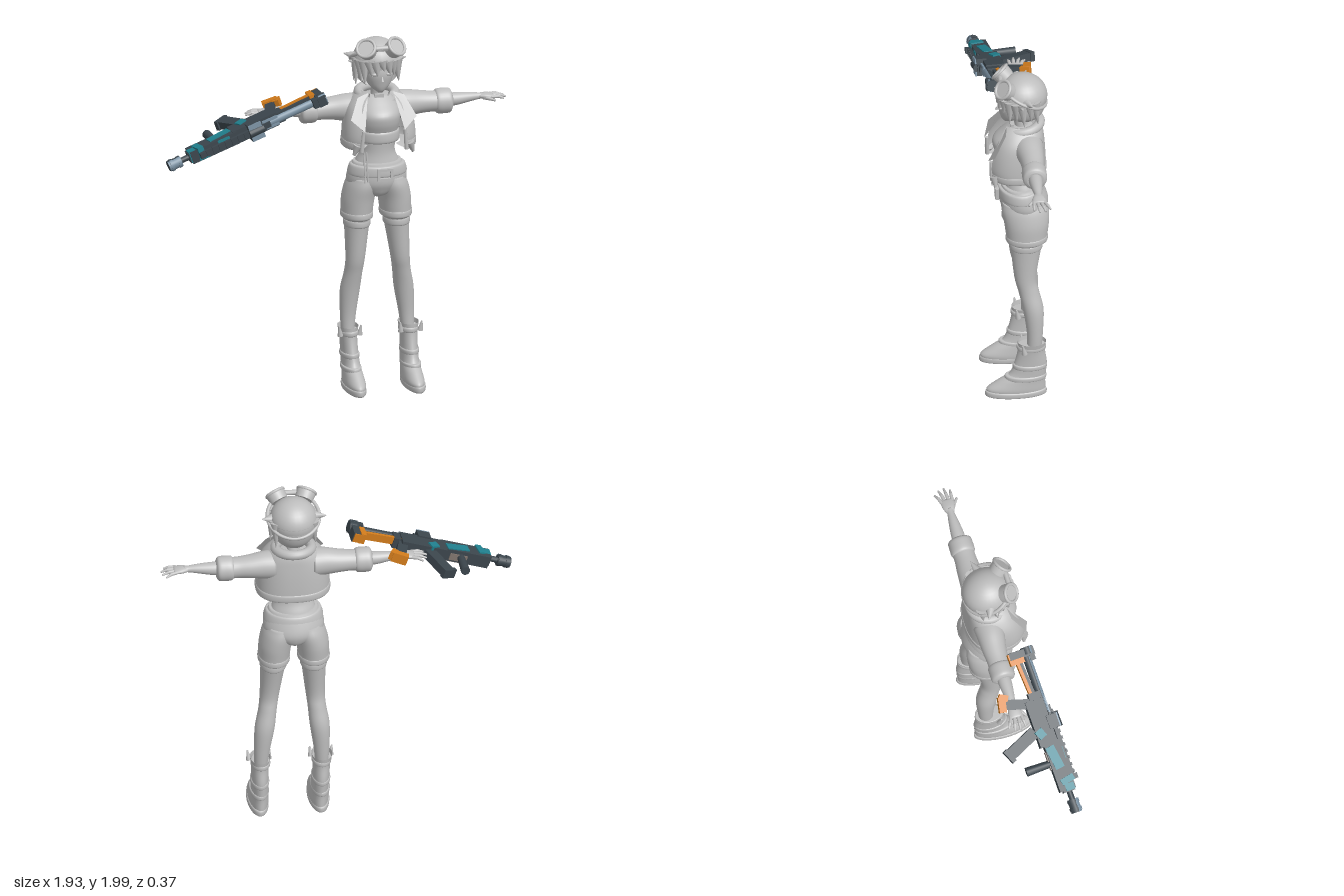
import * as THREE from 'three';

const mat = (name, color) => Object.assign(new THREE.MeshStandardMaterial({ color, side: THREE.DoubleSide }), { name });
const CX = 0.235; // centre line of the figure

// Loft of elliptical rings [y, cx, cz, rx, rz], smoothly interpolated; gap leaves an opening at +z
function loft(rows, { seg = 32, steps = 5, gap = 0, caps = true, power = 1 } = {}) {
  const c = new THREE.CatmullRomCurve3(rows.map(r => new THREE.Vector3(r[1], r[0], r[2])), false, 'catmullrom');
  const d = new THREE.CatmullRomCurve3(rows.map(r => new THREE.Vector3(r[3], 0, r[4])), false, 'catmullrom');
  const rings = [], n = (rows.length - 1) * steps;
  for (let j = 0; j <= n; j++) {
    const p = c.getPoint(j / n), r = d.getPoint(j / n);
    rings.push([p, r.x, r.z]);
  }
  if (caps && !gap) {
    rings.unshift([rings[0][0], 0, 0]);
    rings.push([rings[rings.length - 1][0], 0, 0]);
  }
  const pos = [], idx = [], cols = gap ? seg + 1 : seg;
  const bend = v => Math.sign(v) * Math.abs(v) ** power;
  for (const [p, rx, rz] of rings) for (let i = 0; i < cols; i++) {
    const a = Math.PI / 2 + gap / 2 + (i / seg) * (Math.PI * 2 - gap);
    pos.push(p.x + rx * bend(Math.cos(a)), p.y, p.z + rz * bend(Math.sin(a)));
  }
  for (let j = 0; j < rings.length - 1; j++) for (let i = 0; i < seg; i++) {
    const a = j * cols + i, b = j * cols + (i + 1) % cols;
    idx.push(a, a + cols, b, b, a + cols, b + cols);
  }
  const g = new THREE.BufferGeometry();
  g.setAttribute('position', new THREE.Float32BufferAttribute(pos, 3));
  g.setIndex(idx);
  g.computeVertexNormals();
  return g;
}

export function createModel() {
  const root = new THREE.Group();
  root.name = 'figureWithRifle';
  const grey = mat('figureGrey', 0xbebebe), dark = mat('gunDark', 0x3c464d), slate = mat('gunSlate', 0x7d94a6);
  const teal = mat('gunTeal', 0x20808e), orange = mat('gunOrange', 0xd27c1c), warm = mat('gunWarmGrey', 0x80756e);

  const add = (name, geo, m = grey, x = 0, y = 0, z = 0, parent = root) => {
    const mesh = new THREE.Mesh(geo, m);
    mesh.name = name;
    mesh.position.set(x, y, z);
    parent.add(mesh);
    return mesh;
  };
  // Tapered round bar between two points
  const bar = (name, a, b, r1, r2, m = grey, parent = root, seg = 12) => {
    const A = new THREE.Vector3(...a), B = new THREE.Vector3(...b), dir = B.clone().sub(A);
    const mesh = add(name, new THREE.CylinderGeometry(r2, r1, dir.length(), seg), m, 0, 0, 0, parent);
    mesh.position.copy(A).add(B).multiplyScalar(0.5);
    mesh.quaternion.setFromUnitVectors(new THREE.Vector3(0, 1, 0), dir.normalize());
  };
  const ball = (name, x, y, z, rx, ry, rz) =>
    add(name, new THREE.SphereGeometry(1, 28, 18), grey, x, y, z).scale.set(rx, ry, rz);
  // Central body parts: rows are [y, cz, rx, rz]
  const body = (name, rows, opt) => add(name, loft(rows.map(([y, z, a, b]) => [y, CX, z, a, b]), opt));

  // Torso and clothes
  body('waist', [[1.2, -0.035, 0.14, 0.115], [1.28, -0.035, 0.122, 0.1], [1.35, -0.025, 0.095, 0.083], [1.44, -0.02, 0.108, 0.085]]);
  body('shirt', [[1.465, 0, 0.105, 0.095], [1.52, 0.005, 0.115, 0.112], [1.57, 0.005, 0.115, 0.112],
    [1.62, -0.02, 0.1, 0.085], [1.66, -0.04, 0.07, 0.055]]);
  body('shirtHem', [[1.405, -0.005, 0.1, 0.088], [1.415, 0, 0.113, 0.103], [1.46, 0, 0.114, 0.104], [1.475, 0, 0.105, 0.095]]);
  body('neck', [[1.62, -0.04, 0.05, 0.05], [1.66, -0.035, 0.035, 0.036], [1.74, -0.02, 0.033, 0.035]]);
  add('chokerClasp', new THREE.BoxGeometry(0.05, 0.03, 0.02), grey, CX, 1.655, 0.015);
  body('jacket', [[1.402, -0.015, 0.12, 0.1], [1.388, -0.012, 0.18, 0.145], [1.4, -0.005, 0.197, 0.16], [1.45, 0, 0.2, 0.166], [1.53, -0.005, 0.192, 0.158],
    [1.6, -0.015, 0.175, 0.142], [1.65, -0.025, 0.14, 0.125], [1.69, -0.035, 0.095, 0.1]], { gap: 1.25, power: 0.85, seg: 44 });
  body('jacketHem', [[1.385, -0.012, 0.18, 0.14], [1.39, -0.005, 0.202, 0.164], [1.425, -0.002, 0.203, 0.168], [1.435, 0, 0.194, 0.158]],
    { gap: 1.25, power: 0.85, seg: 44 });
  const collar = new THREE.TorusGeometry(0.098, 0.027, 14, 36, Math.PI * 2 - 1.5);
  collar.rotateZ(Math.PI / 2 + 0.75).rotateX(Math.PI / 2 + 0.12);
  add('collar', collar, grey, CX, 1.665, -0.04);

  // Hips, belt and buckle
  body('shortsHips', [[1.085, -0.055, 0.03, 0.06], [1.105, -0.055, 0.075, 0.105], [1.14, -0.053, 0.145, 0.125], [1.18, -0.047, 0.166, 0.133],
    [1.24, -0.037, 0.156, 0.122], [1.29, -0.03, 0.13, 0.105]]);
  body('belt', [[1.215, -0.035, 0.15, 0.118], [1.222, -0.033, 0.164, 0.129], [1.268, -0.028, 0.153, 0.122], [1.276, -0.027, 0.135, 0.108]]);
  for (const t of [-1, 1]) {
    add('buckleBar', new THREE.BoxGeometry(0.085, 0.014, 0.02), grey, CX + 0.015, 1.235 + t * 0.027, 0.1);
    add('buckleSide', new THREE.BoxGeometry(0.014, 0.06, 0.02), grey, CX + 0.015 + t * 0.036, 1.235, 0.1);
  }
  for (const dx of [-0.1, -0.085])
    bar('hangingCord', [CX + dx - 0.005, 1.37, 0.1], [CX + dx, 1.2, 0.113], 0.004, 0.004);

  // Paired limbs
  for (const s of [1, -1]) {
    // Rows: [y, offset, cz, rx, rz], the stance drifts slightly towards the feet
    const leg = (name, rows, opt) => add(name, loft(rows.map(([y, o, ...r]) => [y, CX + 0.025 * (1 - Math.min(y, 1)) + s * o, ...r]), opt));
    // Raised band around the leg
    const cuff = (name, y, o, z, rx, rz, h) => leg(name, [[-h, 0.007], [-h * 0.6, 0], [h * 0.6, 0], [h, 0.007]]
      .map(([dy, inset]) => [y + dy, o, z, rx - inset, rz - inset]), { steps: 3 });
    leg('leg', [[0.28, 0.167, -0.088, 0.034, 0.038], [0.4, 0.162, -0.092, 0.043, 0.044], [0.54, 0.15, -0.085, 0.054, 0.056],
      [0.65, 0.134, -0.062, 0.05, 0.056], [0.74, 0.124, -0.045, 0.053, 0.06], [0.92, 0.111, -0.05, 0.067, 0.084], [1.05, 0.1, -0.055, 0.08, 0.108]]);
    leg('shortsLeg', [[0.955, 0.109, -0.055, 0.07, 0.09], [0.97, 0.109, -0.055, 0.083, 0.107], [1.01, 0.107, -0.055, 0.086, 0.113],
      [1.08, 0.1, -0.055, 0.089, 0.122], [1.15, 0.084, -0.05, 0.088, 0.128], [1.2, 0.07, -0.045, 0.08, 0.118]]);
    leg('boot', [[0.03, 0.163, 0.012, 0.054, 0.16], [0.055, 0.163, 0.01, 0.056, 0.158], [0.095, 0.163, -0.018, 0.052, 0.13],
      [0.14, 0.164, -0.052, 0.048, 0.1], [0.21, 0.166, -0.068, 0.046, 0.088], [0.29, 0.168, -0.072, 0.047, 0.074], [0.345, 0.168, -0.075, 0.056, 0.077]], { caps: false });
    cuff('stockingBand', 0.938, 0.11, -0.051, 0.073, 0.09, 0.022);
    cuff('shortsCuff', 0.985, 0.108, -0.055, 0.088, 0.114, 0.02);
    cuff('sole', 0.022, 0.165, 0.012, 0.058, 0.167, 0.018);
    cuff('toeStrap', 0.12, 0.166, -0.04, 0.053, 0.113, 0.015);
    cuff('ankleStrap', 0.19, 0.166, -0.064, 0.051, 0.093, 0.015);
    cuff('topStrap', 0.31, 0.166, -0.072, 0.053, 0.079, 0.015);
    for (const o of [0.115, 0.222])
      bar('bootTab', [CX + 0.018 + s * o, 0.3, -0.03], [CX + 0.018 + s * (o + (o < 0.2 ? -0.006 : 0.008)), 0.355, -0.02], 0.016, 0.004);

    // Arm rows: [offset, y, cz, ry, rz]
    const arm = (name, rows) => {
      const m = add(name, loft(rows.map(([o, y, z, ry, rz]) => [o, -s * y, z, ry, rz])));
      m.rotation.z = -s * Math.PI / 2;
      m.position.x = CX;
    };
    arm('sleeve', [[0.1, 1.58, -0.06, 0.08, 0.085], [0.17, 1.582, -0.065, 0.075, 0.075], [0.24, 1.582, -0.07, 0.064, 0.066], [0.3, 1.58, -0.07, 0.058, 0.06], [0.345, 1.578, -0.07, 0.057, 0.06]]);
    arm('sleeveCuff', [[0.328, 1.578, -0.07, 0.052, 0.055], [0.342, 1.578, -0.07, 0.067, 0.066], [0.38, 1.578, -0.07, 0.07, 0.067], [0.412, 1.578, -0.07, 0.066, 0.064], [0.425, 1.578, -0.07, 0.045, 0.045]]);
    arm('forearm', [[0.4, 1.582, -0.07, 0.036, 0.036], [0.45, 1.583, -0.07, 0.035, 0.036], [0.52, 1.588, -0.07, 0.026, 0.028], [0.575, 1.59, -0.07, 0.018, 0.02], [0.6, 1.59, -0.07, 0.017, 0.024]]);
    arm('palm', [[0.575, 1.59, -0.07, 0.014, 0.02], [0.61, 1.59, -0.07, 0.017, 0.034], [0.645, 1.588, -0.07, 0.014, 0.037], [0.655, 1.587, -0.07, 0.01, 0.033]]);
    [[0.7, -0.125], [0.72, -0.098], [0.725, -0.066], [0.708, -0.035]].forEach(([o, z], i) => {
      const z0 = -0.098 + i * 0.019;
      bar('finger', [CX + s * 0.64, 1.588, z0], [CX + s * (o * 0.55 + 0.292), 1.588, (z + z0) / 2], 0.01, 0.009);
      bar('fingertip', [CX + s * (o * 0.55 + 0.288), 1.588, (z + z0) / 2], [CX + s * o, 1.578, z], 0.009, 0.005);
    });
    bar('thumb', [CX + s * 0.6, 1.585, -0.055], [CX + s * 0.655, 1.575, -0.012], 0.013, 0.006);

    // Folded lapel
    const lapel = new THREE.BufferGeometry();
    lapel.setAttribute('position', new THREE.Float32BufferAttribute(
      [0.07, 1.69, 0.05, 0.13, 1.67, 0.06, 0.183, 1.565, 0.125, 0.11, 1.5, 0.155].map((v, i) => i % 3 ? v : CX + s * v), 3));
    lapel.setIndex(s > 0 ? [0, 2, 1, 0, 3, 2] : [0, 1, 2, 0, 2, 3]);
    lapel.computeVertexNormals();
    add('lapel', lapel);
    bar('jacketFrontEdge', [CX + s * 0.115, 1.5, 0.14], [CX + s * 0.125, 1.385, 0.135], 0.009, 0.012);
    bar('jacketCorner', [CX + s * 0.145, 1.42, 0.125], [CX + s * 0.165, 1.365, 0.12], 0.025, 0.008);

    // Goggle cup with rim, facing up, forward and outward
    const n = new THREE.Vector3(s * 0.4, 0.62, 0.68).normalize(), cup = new THREE.Group();
    cup.name = 'goggle';
    cup.position.set(CX + s * 0.076, 1.935, 0.055);
    cup.quaternion.setFromUnitVectors(new THREE.Vector3(0, 1, 0), n);
    add('goggleCup', new THREE.CylinderGeometry(0.055, 0.049, 0.05, 28), grey, 0, 0, 0, cup);
    add('goggleRim', new THREE.TorusGeometry(0.05, 0.009, 10, 28).rotateX(Math.PI / 2), grey, 0, 0.025, 0, cup);
    root.add(cup);
    // Pointed tufts beside the band
    bar('sideTuft', [CX + s * 0.1, 1.87, -0.05], [CX + s * 0.175, 1.885, -0.08], 0.033, 0.002);
    bar('sideTuftLower', [CX + s * 0.1, 1.85, -0.02], [CX + s * 0.16, 1.855, -0.03], 0.026, 0.002);
    ball('eye', CX + s * 0.038, 1.8, 0.082, 0.018, 0.009, 0.01);
  }

  // Head and hair
  body('face', [[1.688, 0.04, 0.012, 0.015], [1.705, 0.025, 0.036, 0.045], [1.74, 0.01, 0.066, 0.072], [1.8, 0.002, 0.084, 0.09], [1.88, -0.01, 0.088, 0.088]]);
  bar('nose', [CX, 1.79, 0.088], [CX, 1.762, 0.099], 0.003, 0.008);
  ball('hairDome', CX, 1.85, -0.043, 0.13, 0.122, 0.135);
  body('hairBack', [[1.715, -0.05, 0.07, 0.075], [1.75, -0.045, 0.105, 0.108], [1.8, -0.043, 0.123, 0.128], [1.86, -0.043, 0.129, 0.134]], { gap: 2.1 });
  for (let i = 0; i < 15; i++) {
    const a = -0.5 + (i / 14) * (Math.PI + 1), front = Math.max(0, Math.sin(a)) ** 3;
    const tip = 1.725 + 0.075 * front + (i % 2) * 0.02;
    bar('hairStrand', [CX + 0.112 * Math.cos(a), 1.87, -0.04 + 0.12 * Math.sin(a)],
      [CX + (0.125 - (i % 2) * 0.012) * Math.cos(a - 0.1), tip, -0.04 + 0.138 * Math.sin(a - 0.1)], 0.034, 0.002);
  }
  const band = add('goggleBand', new THREE.TorusGeometry(0.141, 0.01, 10, 48), grey, CX, 1.872, -0.045);
  band.rotation.x = Math.PI / 2 - 0.5;
  bar('goggleBridge', [CX - 0.035, 1.945, 0.075], [CX + 0.035, 1.945, 0.075], 0.014, 0.014);

  // Rifle: x runs from muzzle to stock, its top side points to +z
  const gun = new THREE.Group();
  gun.name = 'rifle';
  gun.position.set(-0.52, 1.535, 0.065);
  gun.rotation.set(0, 0.07, 0.345);
  root.add(gun);
  // Block of a given centre, size [length, width, height] and slant
  const block = (name, m, [x, y, z], size, slant = 0) =>
    add(name, new THREE.BoxGeometry(...size), m, x, y, z, gun).rotation.y = slant;
  block('handguard', dark, [-0.2, 0, 0.005], [0.28, 0.07, 0.09]);
  block('handguardFront', dark, [-0.325, 0, 0.01], [0.05, 0.055, 0.065]);
  block('receiver', dark, [0.05, 0, -0.01], [0.26, 0.076, 0.1]);
  block('receiverRear', dark, [0.18, 0, 0.005], [0.08, 0.06, 0.07]);
  block('topRail', dark, [-0.07, 0, 0.057], [0.4, 0.03, 0.022]);
  block('sightBase', dark, [0.04, 0, 0.05], [0.075, 0.095, 0.056]);
  block('frontSight', dark, [-0.28, 0, 0.065], [0.03, 0.03, 0.035]);
  block('magazine', dark, [-0.025, 0, -0.15], [0.065, 0.045, 0.2], 0.42);
  block('magazineFoot', dark, [-0.064, 0, -0.232], [0.08, 0.052, 0.025], 0.42);
  block('grip', dark, [0.185, 0, -0.095], [0.055, 0.045, 0.15], -0.3);
  block('stockStrut', dark, [0.29, 0.005, 0], [0.26, 0.034, 0.018], 0.06);
  block('buttPlate', dark, [0.437, 0, 0.015], [0.045, 0.055, 0.14]);
  block('buttToe', dark, [0.425, 0, 0.065], [0.08, 0.05, 0.03]);
  block('tealFront', teal, [-0.325, 0.004, 0.02], [0.04, 0.064, 0.05]);
  block('tealCheek', teal, [-0.285, 0.012, 0.02], [0.035, 0.062, 0.075], 0.2);
  block('tealPanel', teal, [-0.15, 0.01, -0.005], [0.13, 0.062, 0.05], 0.15);
  block('tealTopStrip', teal, [-0.14, 0.024, 0.049], [0.07, 0.016, 0.008]);
  block('tealTopStripFront', teal, [-0.27, -0.024, 0.049], [0.06, 0.016, 0.008]);
  block('tealLatch', teal, [-0.005, 0.01, -0.035], [0.05, 0.072, 0.045], 0.4);
  block('sidePlate', warm, [-0.09, -0.036, -0.01], [0.2, 0.014, 0.04]);
  block('lowerPlate', warm, [-0.16, -0.005, -0.042], [0.1, 0.04, 0.008]);
  block('sightPlate', slate, [0.04, 0, 0.081], [0.075, 0.095, 0.008]);
  block('rearPlate', slate, [0.135, 0, 0.052], [0.09, 0.055, 0.008]);
  block('gripCap', orange, [0.212, 0.004, -0.178], [0.085, 0.055, 0.04], -0.2);
  block('gripCapRear', orange, [0.245, 0.004, -0.16], [0.035, 0.048, 0.05], -0.5);
  block('stockPanel', orange, [0.285, 0.008, -0.017], [0.24, 0.044, 0.018], 0.06);
  block('buttInset', orange, [0.405, 0.004, -0.022], [0.03, 0.058, 0.08]);
  block('buttBackStrip', orange, [0.425, 0.002, -0.058], [0.06, 0.05, 0.009]);
  for (let i = 0; i < 10; i++) block('railTooth', dark, [-0.25 + i * 0.038, 0, 0.07], [0.018, 0.036, 0.01]);
  // Round dark rod along the rifle with a slate skin on its top side
  const rod = (name, x0, x1, z, r) => {
    bar(name, [x0, 0, z], [x1, 0, z], r, r, dark, gun, 20);
    const skin = new THREE.CylinderGeometry(r + 0.002, r + 0.002, x1 - x0, 14, 1, true, -1.2, 2.4);
    add(name + 'Skin', skin.rotateZ(-Math.PI / 2), slate, (x0 + x1) / 2, 0, z, gun);
  };
  rod('muzzle', -0.47, -0.395, 0.012, 0.029);
  rod('muzzleRing', -0.46, -0.442, 0.012, 0.033);
  rod('muzzleCollar', -0.415, -0.398, 0.012, 0.032);
  rod('stockTube', 0.1, 0.46, 0.035, 0.022);
  rod('stockTubeCap', 0.425, 0.465, 0.05, 0.033);
  bar('barrel', [-0.42, 0, 0.012], [-0.3, 0, 0.012], 0.016, 0.016, dark, gun);
  bar('scope', [0, 0, 0.075], [0.085, 0, 0.075], 0.024, 0.022, dark, gun, 16);
  bar('foregrip', [-0.175, 0, -0.03], [-0.175, 0, -0.175], 0.02, 0.025, dark, gun, 12);
  return root;
}
